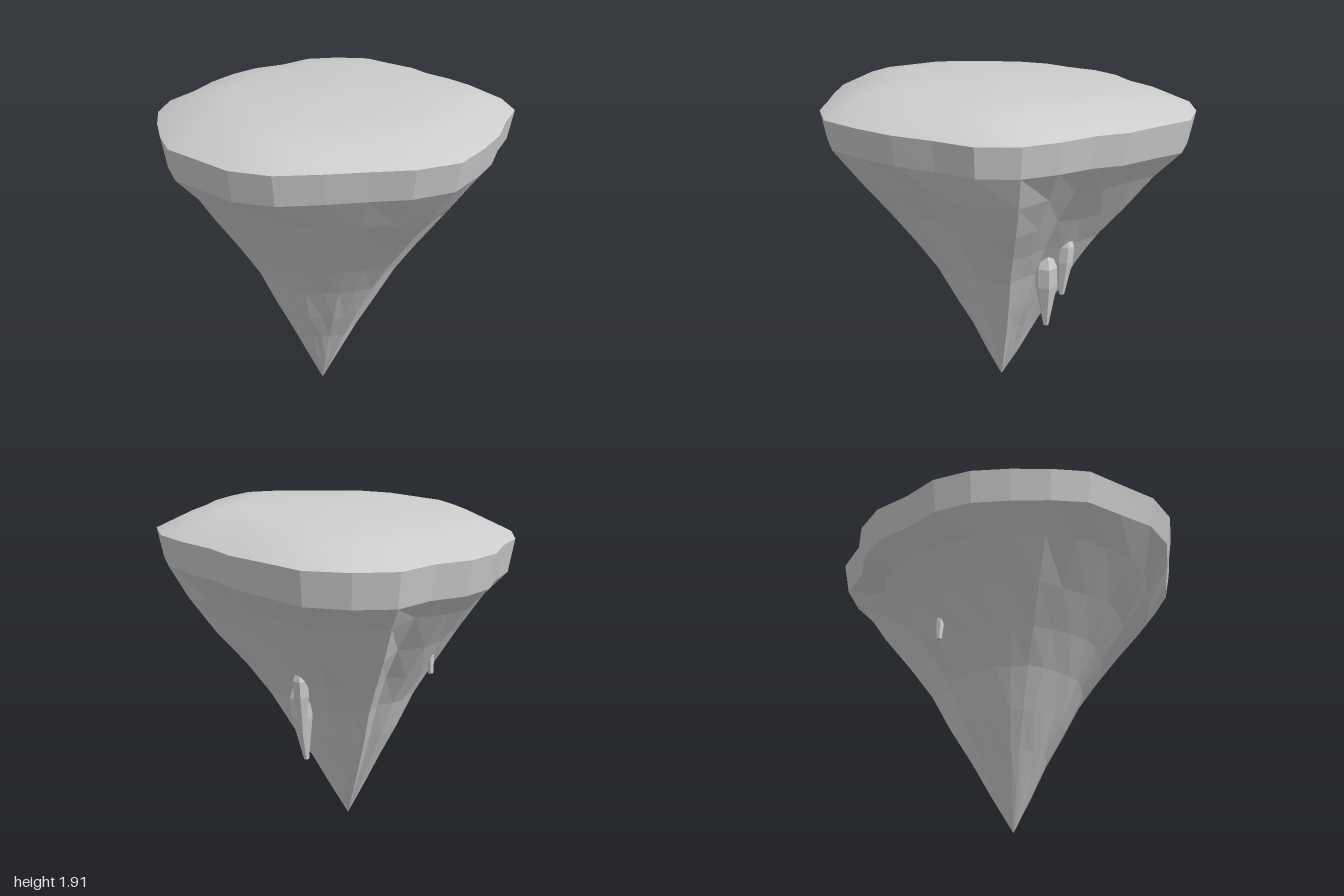
import * as THREE from 'three';

// Rim outline (x, z), starting at the front and turning towards the left (+x) side
const OUTLINE = [
  [-0.2, 1], [0.03, 0.975], [0.25, 0.925], [0.45, 0.835], [0.665, 0.76], [0.805, 0.585], [0.86, 0.375],
  [0.885, 0.16], [0.945, -0.02], [0.955, -0.25], [0.972, -0.48], [0.855, -0.69], [0.69, -0.85], [0.445, -0.89],
  [0.25, -0.98], [0.03, -1], [-0.175, -0.935], [-0.39, -0.9], [-0.575, -0.785], [-0.715, -0.625], [-0.845, -0.445],
  [-0.95, -0.26], [-0.96, -0.03], [-0.972, 0.195], [-0.89, 0.41], [-0.715, 0.595], [-0.565, 0.735], [-0.41, 0.89],
];
// Ridges (>1) and gullies (<1) that develop below the rim
const RIDGE = [
  1, 0.97, 0.9, 1.06, 1.05, 1.1, 1, 0.97, 0.98, 1, 1.02, 1.03, 1.08, 0.93,
  1, 1.01, 0.99, 1.02, 1.03, 1.04, 1.04, 0.98, 1, 0.99, 0.98, 1.01, 1.03, 0.99,
];
const N = OUTLINE.length;

function seeded(seed) {
  return () => {
    seed = (seed * 16807) % 2147483647;
    return seed / 2147483647 - 0.5;
  };
}

// Skin a list of closed rings, ordered from top to bottom
function loft(rings, smooth) {
  const index = [];
  for (let r = 0; r < rings.length - 1; r++) {
    for (let i = 0; i < N; i++) {
      const j = (i + 1) % N;
      const a = r * N + i, b = r * N + j, c = a + N, d = b + N;
      index.push(a, c, d, a, d, b);
    }
  }
  const geo = new THREE.BufferGeometry();
  geo.setAttribute('position', new THREE.Float32BufferAttribute(rings.flat(2), 3));
  geo.setIndex(index);
  const result = smooth ? geo : geo.toNonIndexed();
  result.computeVertexNormals();
  return result;
}

// Scaled copy of the outline at a height, tilted along z
const ring = (scale, y, tilt) => OUTLINE.map(([x, z]) => [x * scale, y + tilt * z, z * scale]);

export function createModel() {
  const group = new THREE.Group();
  const stone = new THREE.MeshStandardMaterial({ color: 0xcccccc });
  stone.name = 'grey stone';
  const add = (name, geo) => {
    const mesh = new THREE.Mesh(geo, stone);
    mesh.name = name;
    group.add(mesh);
    return mesh;
  };

  const rimTop = ring(1, 1.755, 0.025);
  const rimBottom = ring(0.968, 1.58, 0.038);

  // Softly domed top; the inner ring closes on a single point
  add('domedTop', loft([
    ring(0, 1.9, 0), ring(0.3, 1.895, 0.012), ring(0.6, 1.875, 0.022),
    ring(0.8, 1.846, 0.027), rimTop,
  ], true));

  // Faceted band around the edge
  add('rimBand', loft([rimTop, rimBottom], false));

  // Rocky cone narrowing to the tip
  const rnd = seeded(41);
  const cone = [rimBottom];
  const levels = [[0.835, 1.42], [0.67, 1.21], [0.53, 1.01], [0.41, 0.82], [0.3, 0.6], [0.2, 0.41], [0.105, 0.21], [0, 0]];
  for (const [scale, y] of levels) {
    const depth = 1 - y / 1.58;
    const grow = Math.min(1, depth * 4);
    const lean = Math.min(1, depth * 1.4);
    cone.push(OUTLINE.map(([x, z], i) => {
      const s = scale * (1 + (RIDGE[i] - 1) * grow + rnd() * 0.018);
      return [x * s - 0.015 * depth, y + (y > 0 ? rnd() * 0.015 : 0), z * s - 0.06 * lean];
    }));
  }
  add('rockCone', loft(cone, false));

  // Hanging rock spikes: buried top point, blunt tip, widest radius
  const spikes = [
    [[0.4, 1.02, -0.01], [0.375, 0.49, -0.045], 0.064],
    [[0.485, 1.12, -0.09], [0.455, 0.7, -0.085], 0.047],
    [[-0.04, 1.2, -0.59], [-0.04, 1.0, -0.6], 0.024],
  ];
  for (const [top, tip, radius] of spikes) {
    const base = new THREE.Vector3(...tip);
    const axis = new THREE.Vector3(...top).sub(base);
    const h = axis.length();
    const profile = [[0, 0], [0.016, 0], [radius, h * 0.5], [radius, h * 0.72], [0, h]];
    const geo = new THREE.LatheGeometry(profile.map(([r, y]) => new THREE.Vector2(r, y)), 6).toNonIndexed();
    geo.computeVertexNormals();
    const spike = add('hangingSpike', geo);
    spike.position.copy(base);
    spike.quaternion.setFromUnitVectors(new THREE.Vector3(0, 1, 0), axis.normalize());
  }
  return group;
}
